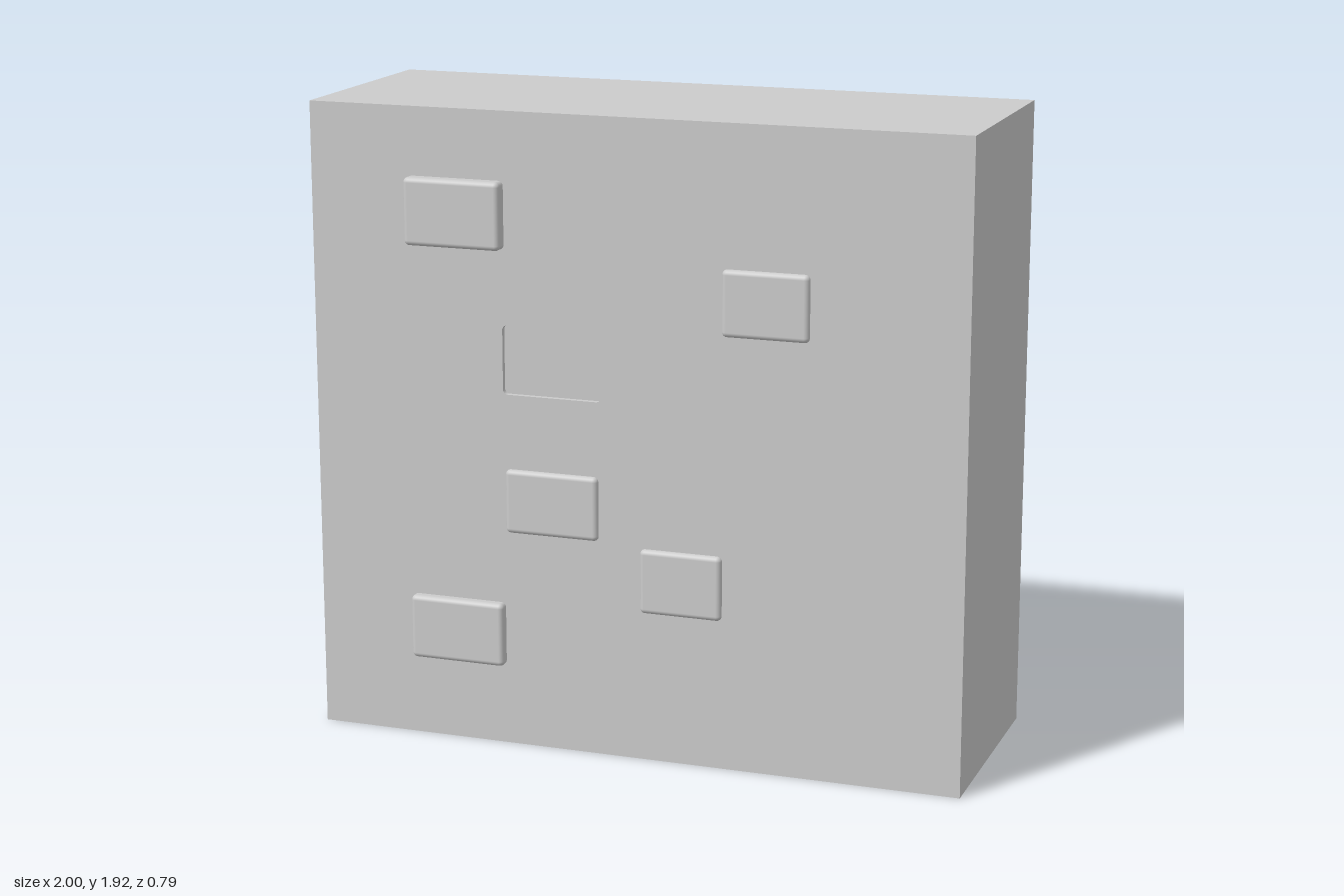
import * as THREE from 'three';
import { RoundedBoxGeometry } from 'three/addons/geometries/RoundedBoxGeometry.js';

const WIDTH = 2, HEIGHT = 1.917, HALF_DEPTH = 0.356;

// Rectangle with rounded corners, as a path for the recess opening
function roundedRect(path, x0, y0, x1, y1, r) {
  path.moveTo(x0 + r, y0);
  path.absarc(x1 - r, y0 + r, r, -Math.PI / 2, 0);
  path.absarc(x1 - r, y1 - r, r, 0, Math.PI / 2);
  path.absarc(x0 + r, y1 - r, r, Math.PI / 2, Math.PI);
  path.absarc(x0 + r, y0 + r, r, Math.PI, Math.PI * 1.5);
  path.closePath();
  return path;
}

export function createModel() {
  const group = new THREE.Group();
  const material = new THREE.MeshStandardMaterial({ color: 0xcccccc });

  const add = (name, geometry, x = 0, y = 0, z = 0) => {
    const mesh = new THREE.Mesh(geometry, material);
    mesh.name = name;
    mesh.position.set(x, y, z);
    group.add(mesh);
  };

  // Wall slab with one opening
  const recess = [-0.40, 1.08, -0.095, 1.288];
  const face = new THREE.Shape([
    new THREE.Vector2(-WIDTH / 2, 0),
    new THREE.Vector2(WIDTH / 2, 0),
    new THREE.Vector2(WIDTH / 2, HEIGHT),
    new THREE.Vector2(-WIDTH / 2, HEIGHT),
  ]);
  face.holes.push(roundedRect(new THREE.Path(), ...recess, 0.015));
  add('wall', new THREE.ExtrudeGeometry(face, {
    depth: HALF_DEPTH * 2, bevelEnabled: false, curveSegments: 4,
  }), 0, 0, -HALF_DEPTH);

  // Sunken brick filling the opening, set slightly back on both sides
  const [rx0, ry0, rx1, ry1] = recess;
  add('sunkenBrick', new THREE.BoxGeometry(rx1 - rx0, ry1 - ry0, 0.68),
    (rx0 + rx1) / 2, (ry0 + ry1) / 2);

  // Raised bricks running through the wall: x0, y0, x1, y1, half depth
  const bricks = [
    [-0.692, 1.512, -0.392, 1.713, 0.396],
    [0.276, 1.304, 0.536, 1.5, 0.371],
    [-0.393, 0.661, -0.103, 0.855, 0.371],
    [0.027, 0.456, 0.278, 0.651, 0.371],
    [-0.698, 0.246, -0.40, 0.441, 0.386],
  ];
  bricks.forEach(([x0, y0, x1, y1, d], i) => {
    add(`raisedBrick${i + 1}`, new RoundedBoxGeometry(x1 - x0, y1 - y0, d * 2, 3, 0.015),
      (x0 + x1) / 2, (y0 + y1) / 2);
  });

  return group;
}
